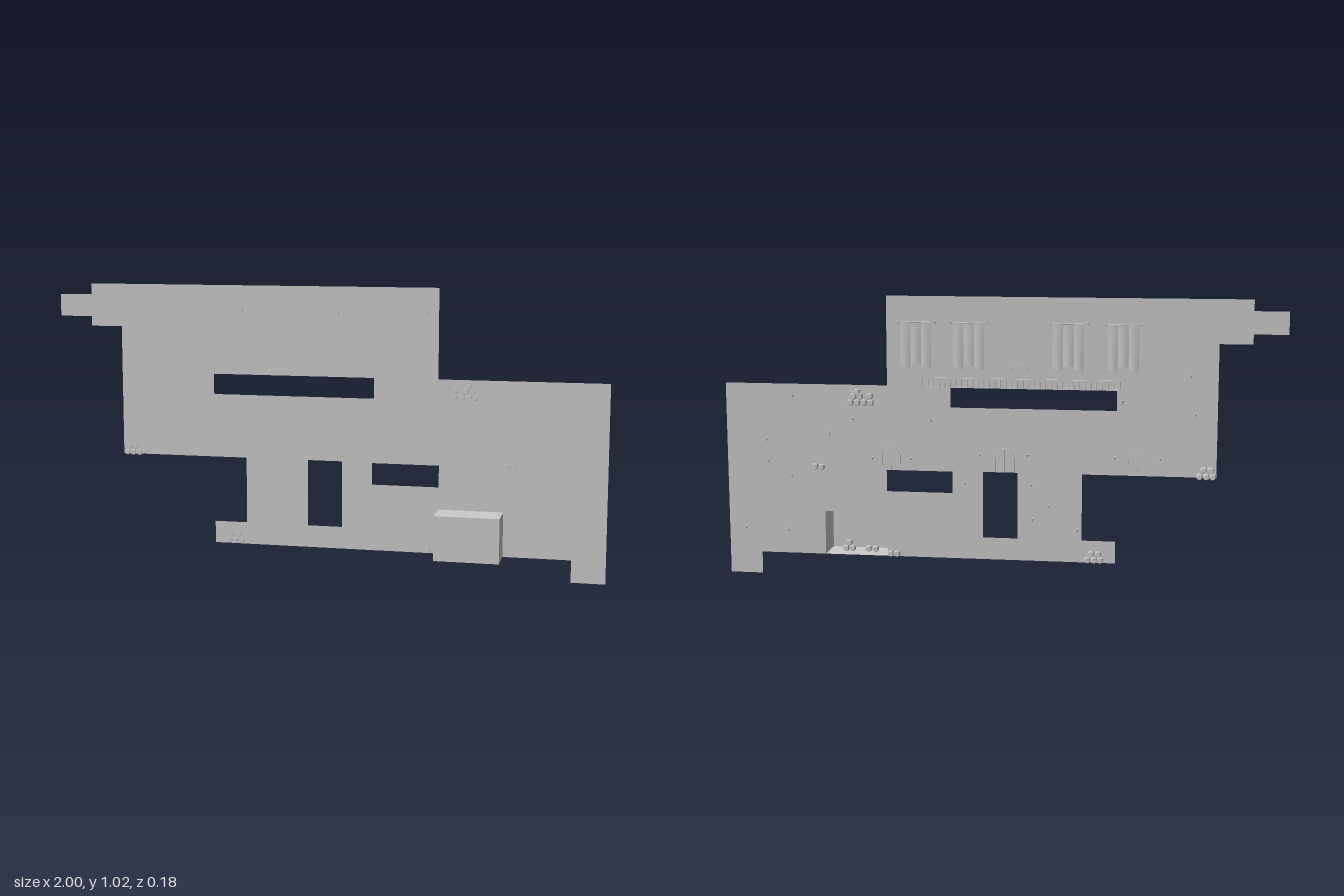
import * as THREE from 'three';

const WALL_Z = -0.025;

export function createModel() {
  const model = new THREE.Group();
  const stone = new THREE.MeshStandardMaterial({ color: 0xcccccc, side: THREE.DoubleSide });
  stone.name = 'pale grey';

  function add(name, geometry, x = 0, y = 0, z = 0, parent = model) {
    const mesh = new THREE.Mesh(geometry, stone);
    mesh.name = name;
    mesh.position.set(x, y, z);
    parent.add(mesh);
    return mesh;
  }
  function group(name, x, y, z) {
    const g = new THREE.Group();
    g.name = name;
    g.position.set(x, y, z);
    model.add(g);
    return g;
  }
  const points = (list) => list.map(([x, y]) => new THREE.Vector2(x, y));

  // Flat wall with stepped outline, window openings and alcove notch
  const outline = new THREE.Shape(points([
    [-1, 0.905], [-0.88, 0.905], [-0.88, 0.87], [-0.765, 0.87], [-0.765, 0.4],
    [-0.295, 0.4], [-0.295, 0.16], [-0.415, 0.16], [-0.415, 0.08], [0.41, 0.08],
    [0.41, 0.24], [0.64, 0.24], [0.64, 0.08], [0.88, 0.08], [0.88, 0], [1, 0],
    [1, 0.705], [0.405, 0.705], [0.405, 1.025], [-0.88, 1.025], [-0.88, 0.985], [-1, 0.985],
  ]));
  for (const [x0, x1, y0, y1] of [
    [-0.415, 0.175, 0.63, 0.704], [-0.065, 0.06, 0.16, 0.4], [0.17, 0.41, 0.32, 0.398],
  ]) outline.holes.push(new THREE.Path(points([[x0, y0], [x0, y1], [x1, y1], [x1, y0]])));
  add('wall', new THREE.ShapeGeometry(outline), 0, 0, WALL_Z);

  // Alcove box, open at the back
  const alcove = new THREE.BoxGeometry(0.23, 0.16, 0.115);
  alcove.setIndex(Array.from(alcove.index.array).slice(0, 30));
  alcove.clearGroups();
  add('alcove', alcove, 0.525, 0.16, 0.0325);

  // Barrels lying with their axis along z
  const barrelShape = new THREE.LatheGeometry(points([
    [0, -0.0115], [0.0095, -0.0115], [0.012, -0.004], [0.012, 0.004], [0.0095, 0.0115], [0, 0.0115],
  ]), 8).toNonIndexed();
  barrelShape.computeVertexNormals();
  barrelShape.rotateX(Math.PI / 2);
  const smallPile = [[-0.022, 0], [0, 0], [0.024, 0], [-0.015, 0.022], [0.01, 0.022]];
  const piles = [
    [0.5, 0.643, -0.034, [[-0.037, 0], [-0.012, 0], [0.013, 0], [0.037, 0],
      [-0.034, 0.023], [0.003, 0.022], [0.026, 0.022], [0.013, 0.038]]],
    [-0.73, 0.405, -0.034, smallPile],
    [-0.34, 0.092, -0.034, smallPile],
    [0.385, 0.092, -0.034, [[-0.011, 0], [0.011, 0]]],
    [0.66, 0.404, -0.034, [[-0.012, 0], [0.011, 0.003]]],
    [0.565, 0.091, 0.03, [[-0.012, 0], [0.012, 0], [0, 0.021]]],
    [0.48, 0.091, 0.03, [[-0.013, 0], [0.013, 0]]],
  ];
  for (const [x, y, z, spots] of piles) {
    const pile = group('barrelPile', x, y, z);
    spots.forEach(([dx, dy]) => add('barrel', barrelShape, dx, dy, 0, pile));
  }

  // Hanging banners: pole, knobs that reach through the wall, three draped strips
  const pole = new THREE.CylinderGeometry(0.0025, 0.0025, 0.135, 6).rotateZ(Math.PI / 2);
  const knob = new THREE.BoxGeometry(0.007, 0.011, 0.018);
  function drape(width, length, phase) {
    const cloth = new THREE.PlaneGeometry(width, length, 6, 4);
    const p = cloth.attributes.position;
    for (let i = 0; i < p.count; i++) {
      const u = p.getX(i) / width + 0.5;
      const v = 0.5 - p.getY(i) / length;
      p.setZ(i, -0.004 * Math.sin(Math.PI * u) * (0.4 + 0.6 * v));
      p.setY(i, p.getY(i) - length / 2 - 0.005 * v * Math.sin(5 * u + phase));
    }
    cloth.computeVertexNormals();
    return cloth;
  }
  const sideStrip = drape(0.036, 0.16, 0);
  const middleStrip = drape(0.038, 0.148, 2);
  for (const x of [0.297, 0.108, -0.244, -0.435]) {
    const banner = group('banner', x, 0.933, -0.034);
    add('bannerPole', pole, 0, 0, 0, banner);
    for (const side of [-1, 1]) {
      add('poleKnob', knob, side * 0.066, 0, 0.002, banner);
      add('sideCloth', sideStrip, side * 0.037, 0, -0.003, banner);
    }
    add('middleCloth', middleStrip, 0, 0, 0.002, banner);
  }

  // Balcony railing behind the long opening
  const railing = group('railing', -0.08, 0.71, -0.088);
  add('handrail', new THREE.BoxGeometry(0.7, 0.005, 0.006), 0, 0.032, 0, railing);
  add('lowerRail', new THREE.BoxGeometry(0.7, 0.004, 0.005), 0, 0.002, 0, railing);
  const baluster = new THREE.CylinderGeometry(0.0022, 0.0032, 0.03, 6);
  for (let i = 0; i <= 35; i++) add('baluster', baluster, -0.345 + i * 0.0197, 0.016, 0, railing);
  for (const s of [-1, 1]) {
    add('railPost', new THREE.BoxGeometry(0.007, 0.035, 0.007), s * 0.347, 0.0175, 0, railing);
  }

  // Thin arched door frames on the back of the wall
  const arch = new THREE.Shape();
  arch.moveTo(0.035, 0).lineTo(0.035, 0.05).absarc(0, 0.05, 0.035, 0, Math.PI, false);
  arch.lineTo(-0.035, 0).lineTo(-0.031, 0).lineTo(-0.031, 0.05);
  arch.absarc(0, 0.05, 0.031, Math.PI, 0, true).lineTo(0.031, 0);
  const frame = new THREE.ExtrudeGeometry(arch, { depth: 0.005, bevelEnabled: false, curveSegments: 10 });
  for (const [x, y] of [[-0.07, 0.708], [0.394, 0.4], [-0.018, 0.402], [-0.49, 0.4]]) {
    const door = group('doorway', x, y, WALL_Z - 0.0055);
    add('archFrame', frame, 0, 0, 0, door);
    add('doorSeam', new THREE.BoxGeometry(0.002, 0.083, 0.003), 0, 0.0415, 0.003, door);
  }

  // Small wall torches
  const torch = new THREE.ConeGeometry(0.004, 0.016, 6).rotateX(Math.PI - 0.3);
  for (const [x, y] of [
    [0.75, 0.66], [0.85, 0.5], [0.845, 0.42], [0.76, 0.37], [0.936, 0.17], [0.776, 0.165],
    [0.617, 0.525], [0.53, 0.58], [0.245, 0.58], [0.125, 0.355], [-0.115, 0.355], [-0.178, 0.28],
    [-0.28, 0.195], [-0.12, 0.23], [-0.435, 0.66], [-0.67, 0.755], [-0.69, 0.62],
    [-0.57, 0.46], [-0.41, 0.46], [-0.1, 0.46], [0.07, 0.46], [0.32, 0.44], [0.46, 0.44],
  ]) add('wallTorch', torch, x, y, -0.03);

  return model;
}
